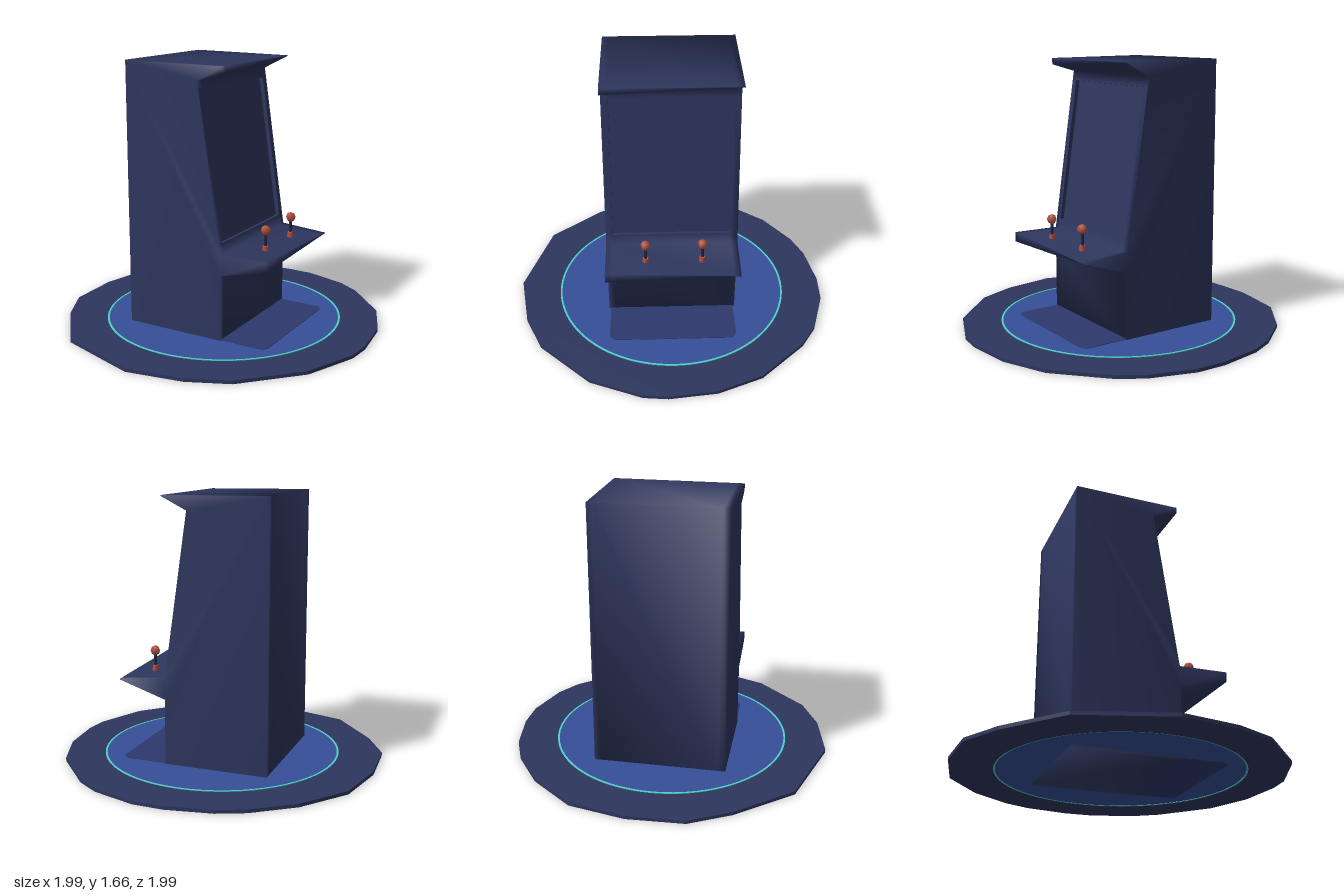
import * as THREE from 'three';

const mat = (name, color) => Object.assign(new THREE.MeshStandardMaterial({ color }), { name });

export function createModel() {
  const navy = mat('navy', 0x2e365e);
  const blue = mat('floor blue', 0x365098);
  const cyan = mat('cyan trim', 0x50cfc8);
  const shade = mat('mat blue', 0x2d396e);
  const red = mat('knob red', 0xb5523e);
  const dark = mat('stick dark', 0x20263f);

  const root = new THREE.Group();
  root.name = 'arcadeCabinet';
  const add = (parent, name, geo, material, x = 0, y = 0, z = 0) => {
    const m = new THREE.Mesh(geo, material);
    m.name = name;
    m.position.set(x, y, z);
    parent.add(m);
    return m;
  };
  // Horizontal slab from a shape drawn in x,z, with its top at height top
  const slab = (shape, thick, top) =>
    new THREE.ExtrudeGeometry(shape, { depth: thick, bevelEnabled: false, curveSegments: 48 })
      .rotateX(Math.PI / 2).translate(0, top, 0);
  const circle = r => new THREE.Path().absarc(0, 0, r, 0, Math.PI * 2, true);

  // Rough-edged outer ring of the base
  const rim = [
    [-0.04, -1], [0.14, -0.99], [0.41, -0.91], [0.58, -0.82], [0.79, -0.62], [0.88, -0.47], [0.99, -0.1],
    [0.97, 0.2], [0.87, 0.48], [0.79, 0.61], [0.53, 0.84], [0.12, 0.99], [-0.15, 0.98], [-0.49, 0.88],
    [-0.89, 0.5], [-0.99, 0.08], [-1, -0.2], [-0.86, -0.52], [-0.64, -0.8], [-0.33, -0.95],
  ].map(p => new THREE.Vector2(...p));
  const ringShape = new THREE.Shape(rim);
  ringShape.holes.push(circle(0.745));
  add(root, 'baseRing', slab(ringShape, 0.021, 0.021), navy);

  // Blue floor disc with its cyan trim
  add(root, 'floorDisc', new THREE.CylinderGeometry(0.737, 0.737, 0.018, 64), blue, 0, 0.013, 0);
  const trim = new THREE.Shape().absarc(0, 0, 0.747, 0, Math.PI * 2, false);
  trim.holes.push(circle(0.735));
  add(root, 'floorTrim', slab(trim, 0.023, 0.025), cyan);

  // Cabinet frame: x runs from back to front, z across the width
  const cabinet = new THREE.Group();
  cabinet.name = 'cabinet';
  cabinet.position.set(-0.39, 0, -0.19);
  cabinet.rotation.y = -0.459;
  root.add(cabinet);

  // Side profile; the shelf and canopy lips thin out towards one side
  const half = 0.41, inset = 0.367;
  const profile = w => {
    const t = (w + half) / (2 * half);
    return [
      [0, 0], [0.65, 0], [0.65, 0.43], [0.95, 0.528 - 0.028 * t], [0.95, 0.533 + 0.027 * t], [0.65, 0.556],
      [0.64, 0.62], [0.509, 1.51], [0.5, 1.57], [0.66, 1.65 - 0.035 * t], [0.66, 1.655], [0, 1.662],
    ];
  };
  const stations = [-half, -inset, inset, half];
  const pos = [], idx = [], n = profile(0).length;
  stations.forEach(w => profile(w).forEach(([u, y]) => pos.push(u, y, w)));
  for (let i = 0; i < 3; i++) {
    for (let j = 0; j < n; j++) {
      if (i === 1 && j === 6) continue; // opening for the screen
      const k = (j + 1) % n, a = i * n + j, b = i * n + k;
      idx.push(a, b, b + n, a, b + n, a + n);
    }
  }
  const outline = profile(half).map(p => new THREE.Vector2(...p));
  for (const [a, b, c] of THREE.ShapeUtils.triangulateShape(outline, [])) {
    idx.push(a + 3 * n, b + 3 * n, c + 3 * n, c, b, a);
  }
  const body = new THREE.BufferGeometry();
  body.setAttribute('position', new THREE.Float32BufferAttribute(pos, 3));
  body.setIndex(idx);
  body.computeVertexNormals();
  add(cabinet, 'cabinetBody', body, navy);

  // Recessed screen: four walls and a back
  const corners = [[0.64, 0.62, -inset], [0.509, 1.51, -inset], [0.509, 1.51, inset], [0.64, 0.62, inset]];
  const inner = corners.map(([x, y, z]) => [x - 0.025, y - 0.004, z]);
  const tray = [4, 5, 6, 4, 6, 7];
  for (let i = 0; i < 4; i++) {
    const k = (i + 1) % 4;
    tray.push(i, k, k + 4, i, k + 4, i + 4);
  }
  let screen = new THREE.BufferGeometry();
  screen.setAttribute('position', new THREE.Float32BufferAttribute([...corners, ...inner].flat(), 3));
  screen.setIndex(tray);
  screen = screen.toNonIndexed();
  screen.computeVertexNormals();
  add(cabinet, 'screen', screen, navy);

  // Two joysticks on the control shelf
  for (const [name, u, w] of [['leftJoystick', 0.815, -0.18], ['rightJoystick', 0.82, 0.165]]) {
    const stick = new THREE.Group();
    stick.name = name;
    stick.position.set(u, 0.545, w);
    cabinet.add(stick);
    add(stick, 'collar', new THREE.CylinderGeometry(0.018, 0.02, 0.035, 6), red, 0, 0.015, 0);
    add(stick, 'shaft', new THREE.CylinderGeometry(0.009, 0.009, 0.1, 6), dark, 0, 0.07, 0);
    add(stick, 'knob', new THREE.SphereGeometry(0.032, 5, 4), red, 0, 0.128, 0);
  }

  // Rounded floor mat beneath the shelf
  const r = 0.06, x0 = 0.6, x1 = 0.95, h = 0.4;
  const matShape = new THREE.Shape();
  matShape.moveTo(x0, -h).lineTo(x1 - r, -h).quadraticCurveTo(x1, -h, x1, -h + r)
    .lineTo(x1, h - r).quadraticCurveTo(x1, h, x1 - r, h).lineTo(x0, h);
  add(cabinet, 'floorMat', slab(matShape, 0.023, 0.025), shade);

  return root;
}
